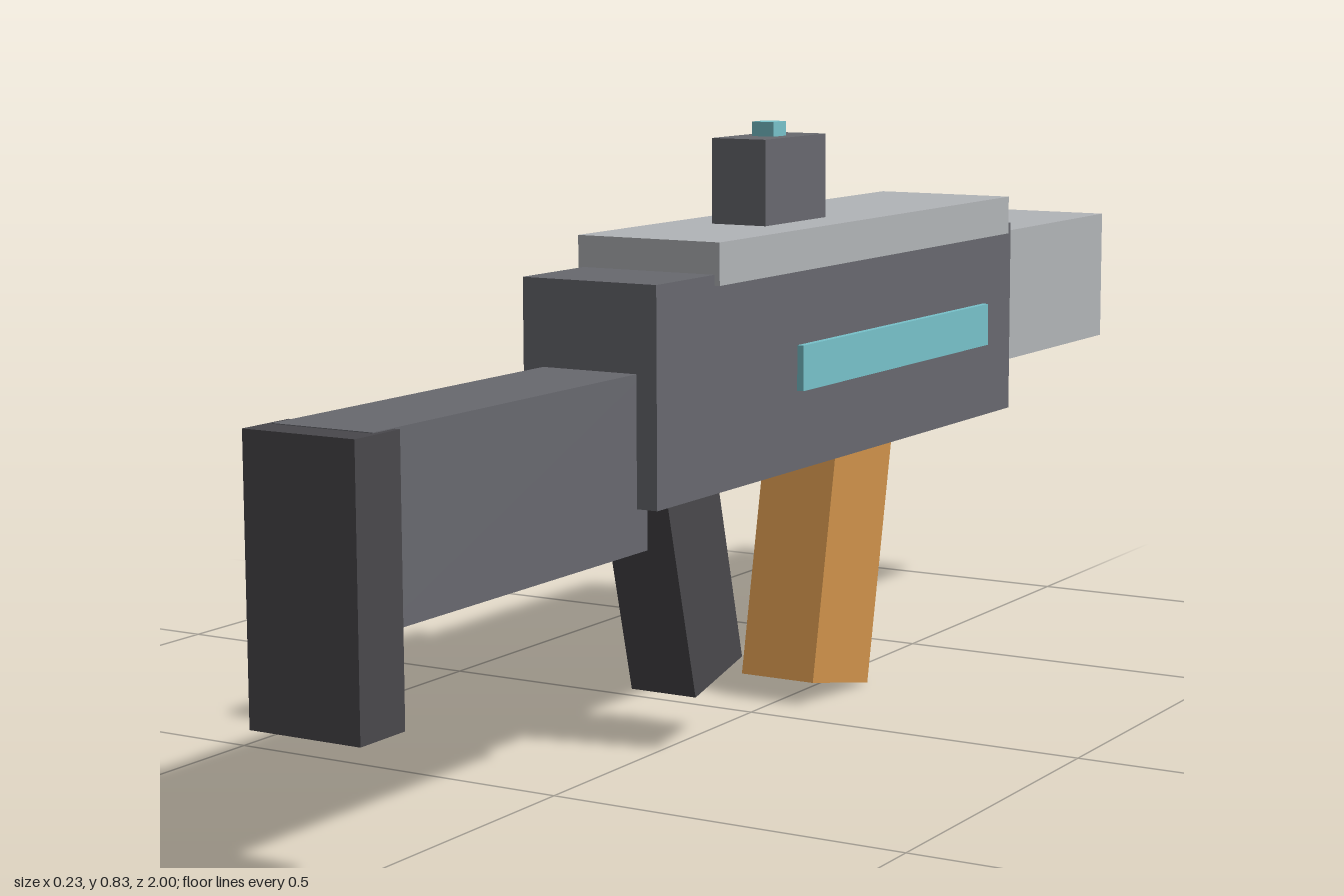
import * as THREE from 'three';

const material = (name, color) => {
  const m = new THREE.MeshStandardMaterial({ color });
  m.name = name;
  return m;
};

export function createModel() {
  const model = new THREE.Group();
  model.name = 'blockyToyBlaster';

  const grey = material('bodyGrey', 0x68696f);
  const dark = material('darkGrey', 0x49484c);
  const steel = material('lightSteel', 0xb2b5b8);
  const cyan = material('glowCyan', 0x78c2cb);
  const orange = material('magazineOrange', 0xcf924b);

  // Box given by its x, y and z ranges
  function block(name, mat, [x0, x1], [y0, y1], [z0, z1]) {
    const mesh = new THREE.Mesh(new THREE.BoxGeometry(x1 - x0, y1 - y0, z1 - z0), mat);
    mesh.position.set((x0 + x1) / 2, (y0 + y1) / 2, (z0 + z1) / 2);
    mesh.name = name;
    model.add(mesh);
  }

  // Tilted box placed by the centre of its bottom face
  function slantedBlock(name, mat, [w, h, d], y, z, tilt) {
    const geometry = new THREE.BoxGeometry(w, h, d).translate(0, h / 2, 0);
    const mesh = new THREE.Mesh(geometry, mat);
    mesh.position.set(0, y, z);
    mesh.rotation.x = tilt;
    mesh.name = name;
    model.add(mesh);
  }

  // Main body, top rail and barrel
  block('body', grey, [-0.1, 0.1], [0.362, 0.648], [-0.623, 0.41]);
  block('topRail', steel, [-0.108, 0.108], [0.634, 0.69], [-0.598, 0.268]);
  block('barrel', steel, [-0.088, 0.088], [0.434, 0.634], [-1, -0.6]);

  // Shoulder stock with its end plate
  block('stock', grey, [-0.07, 0.07], [0.305, 0.534], [0.385, 0.957]);
  block('buttPlate', dark, [-0.078, 0.078], [0.188, 0.533], [0.917, 1]);

  // Sight with a small bead on top
  block('sight', grey, [-0.042, 0.042], [0.68, 0.807], [-0.136, 0.034]);
  block('sightBead', cyan, [-0.017, 0.017], [0.8, 0.827], [-0.067, -0.032]);

  // Light strips on both sides
  block('leftStrip', cyan, [0.108, 0.1175], [0.473, 0.535], [-0.51, 0.063]);
  block('rightStrip', cyan, [-0.1175, -0.108], [0.473, 0.535], [-0.51, 0.063]);

  // Grip and magazine, leaning away from each other
  slantedBlock('grip', dark, [0.1, 0.33, 0.127], 0.094, 0.173, 0.25);
  slantedBlock('magazine', orange, [0.116, 0.4, 0.169], 0.018, -0.157, -0.2);

  return model;
}
